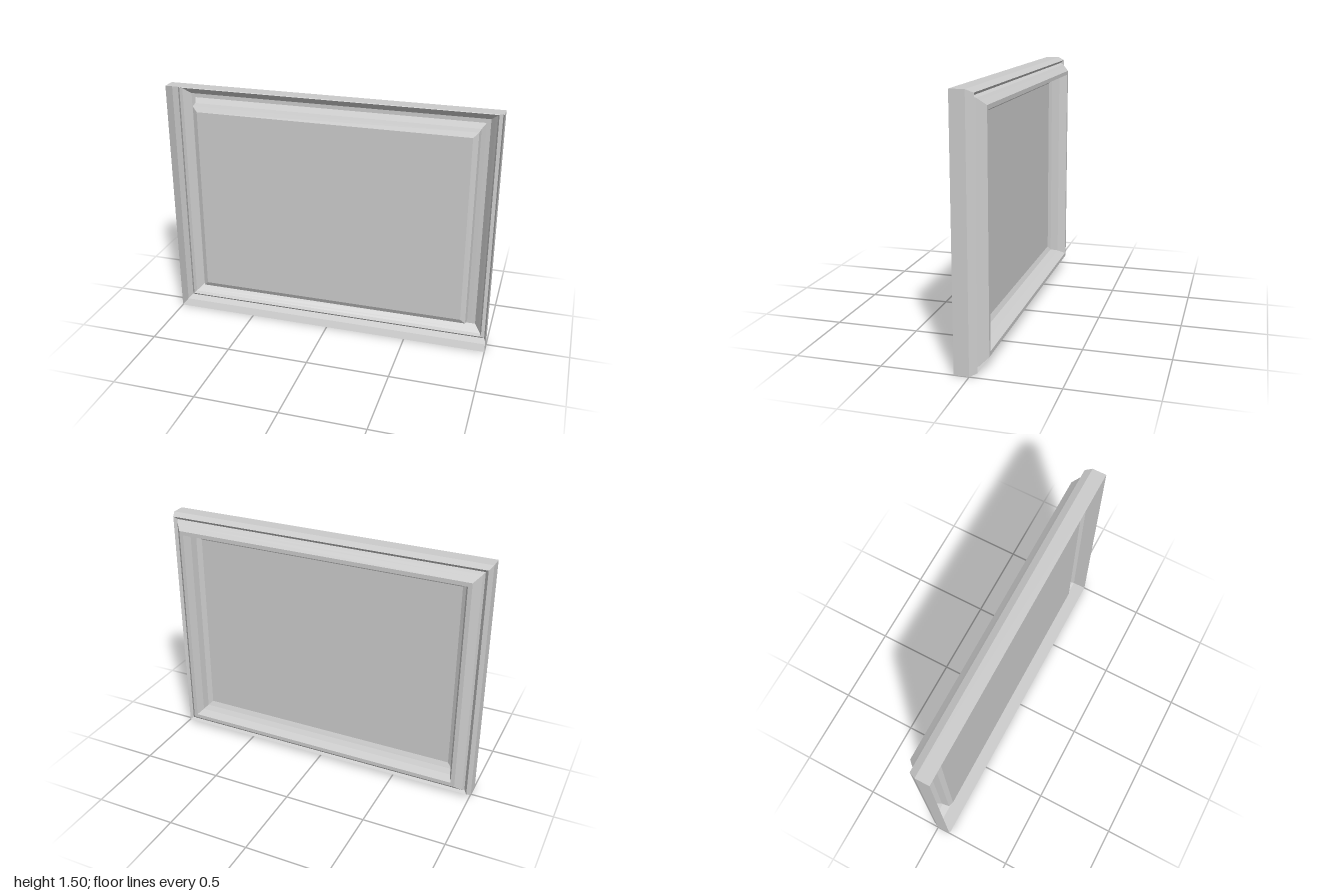
import * as THREE from 'three';

const W = 2, H = 1.5;

// Moulding profile as [inset from the outer edge, z]; open towards the front
const PROFILE = [
  [0, 0.085], [0, 0], [0.018, -0.04],               // outer wall and bevel
  [0.037, -0.02], [0.046, -0.042],                  // narrow groove
  [0.06, -0.057], [0.085, -0.085], [0.109, -0.085], // raised lip
  [0.13, -0.035], [0.136, 0.015], [0.166, 0.03],    // inner steps down to the panel
];

// Four corners of the rectangle at one profile point
function ring([inset, z]) {
  const x = W / 2 - inset;
  return [[-x, inset, z], [x, inset, z], [x, H - inset, z], [-x, H - inset, z]];
}

// Mitred frame: sweep the profile round the rectangle with sharp edges
function mouldingGeometry() {
  const pos = [];
  for (let k = 0; k < PROFILE.length - 1; k++) {
    const a = ring(PROFILE[k]), b = ring(PROFILE[k + 1]);
    for (let i = 0; i < 4; i++) {
      const j = (i + 1) % 4;
      pos.push(...a[i], ...b[i], ...b[j], ...a[i], ...b[j], ...a[j]);
    }
  }
  const g = new THREE.BufferGeometry();
  g.setAttribute('position', new THREE.Float32BufferAttribute(pos, 3));
  g.computeVertexNormals();
  return g;
}

export function createModel() {
  const group = new THREE.Group();
  group.name = 'pictureFrame';
  const material = new THREE.MeshStandardMaterial({
    color: 0xcccccc, flatShading: true, side: THREE.DoubleSide,
  });

  const moulding = new THREE.Mesh(mouldingGeometry(), material);
  moulding.name = 'moulding';
  group.add(moulding);

  // Flat panel filling the opening
  const [inset, z] = PROFILE[PROFILE.length - 1];
  const panel = new THREE.Mesh(new THREE.PlaneGeometry(W - 2 * inset, H - 2 * inset), material);
  panel.name = 'panel';
  panel.position.set(0, H / 2, z);
  group.add(panel);

  return group;
}
